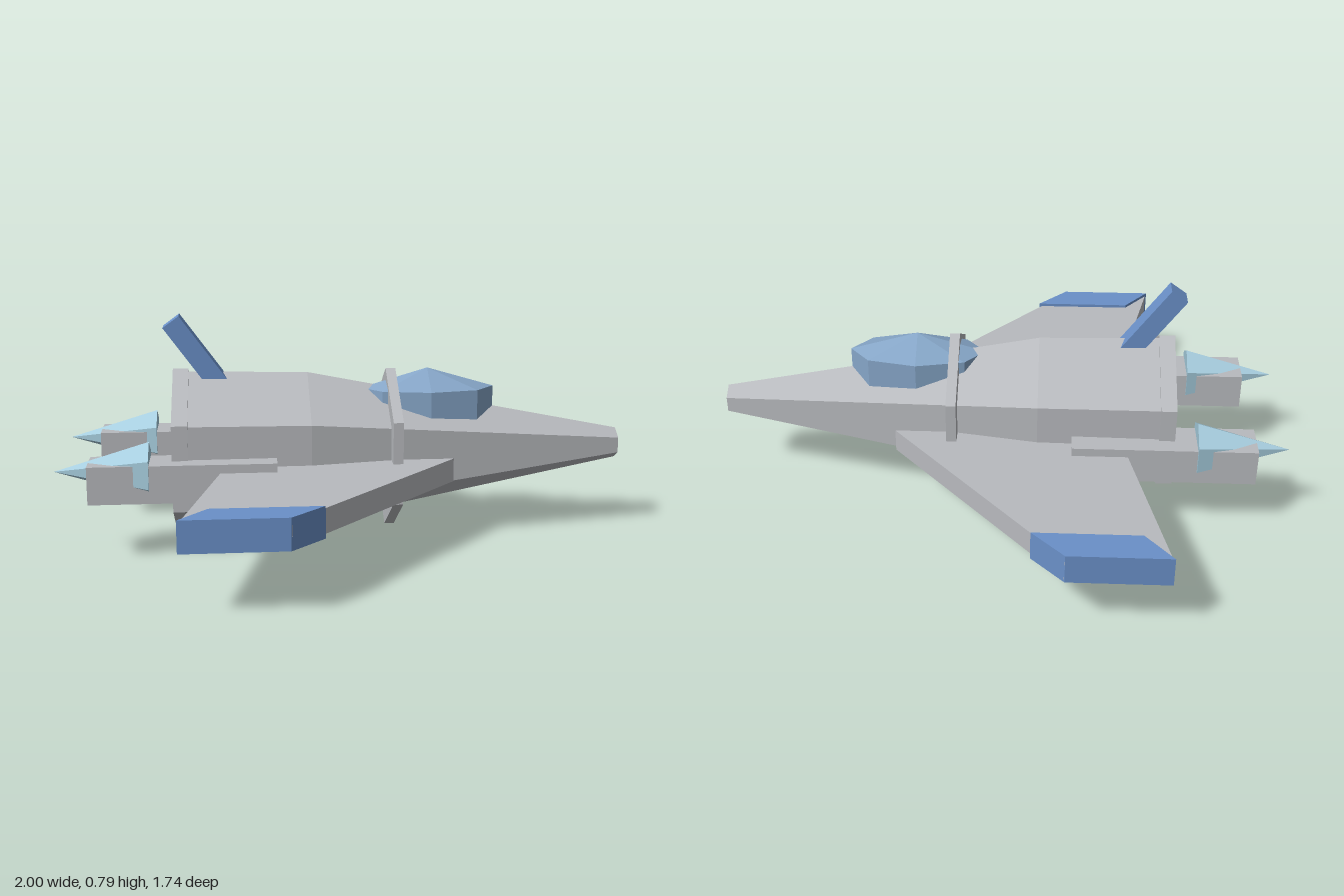
import * as THREE from 'three';

const AXIS_Y = 0.3; // height of the hull's long axis

function material(name, color) {
  const m = new THREE.MeshStandardMaterial({ color, flatShading: true });
  m.name = name;
  return m;
}

// Six-sided section along x, with a corner pointing straight up
function hexSection(x0, x1, r0, r1, open = false) {
  const g = new THREE.CylinderGeometry(r1, r0, x1 - x0, 6, 1, open);
  g.rotateY(Math.PI / 2);
  g.rotateZ(-Math.PI / 2);
  g.translate((x0 + x1) / 2, AXIS_Y, 0);
  return g;
}

// Flat slab from a plan outline of [x, z] points, mirrored by side
function slab(outline, side, y0, y1) {
  const shape = new THREE.Shape(outline.map(([x, z]) => new THREE.Vector2(x, -side * z)));
  const g = new THREE.ExtrudeGeometry(shape, { depth: y1 - y0, bevelEnabled: false });
  g.rotateX(-Math.PI / 2);
  g.translate(0, y0, 0);
  return g;
}

export function createModel() {
  const grey = material('hull grey', 0xb8babe);
  const blue = material('trim blue', 0x6a90c8);
  const glass = material('canopy blue', 0x86a6c8);
  const pale = material('exhaust pale blue', 0xa8cfe0);

  const model = new THREE.Group();
  model.name = 'spacecraft';
  const add = (name, geometry, mat, parent = model) => {
    const mesh = new THREE.Mesh(geometry, mat);
    mesh.name = name;
    parent.add(mesh);
    return mesh;
  };

  // Hull: rear body, long nose and two collars
  add('rearHull', hexSection(-0.6, -0.13, 0.29, 0.28, true), grey);
  add('nose', hexSection(-0.13, 1, 0.28, 0.055), grey);
  add('rearCollar', hexSection(-0.605, -0.55, 0.3, 0.3), grey);
  add('middleCollar', hexSection(0.15, 0.185, 0.29, 0.29), grey);

  // Canopy: faceted stretched dome
  const dome = new THREE.SphereGeometry(1, 8, 3);
  dome.scale(0.24 / Math.sin(Math.PI / 3), 0.14, 0.115 / Math.sin(Math.PI / 3));
  dome.translate(0.3, 0.45, 0);
  add('canopy', dome, glass);

  // Tail fin: raked square bar
  const fin = new THREE.BoxGeometry(0.07, 0.36, 0.07);
  fin.translate(0, -0.18, 0);
  const tailFin = add('tailFin', fin, blue);
  tailFin.position.set(-0.607, 0.77, 0);
  tailFin.rotation.z = 0.63;

  // Wings, wing tips, engines and exhausts on both sides
  for (const side of [1, -1]) {
    const half = new THREE.Group();
    half.name = side > 0 ? 'leftSide' : 'rightSide';
    model.add(half);

    add('wing', slab([[0.37, 0.19], [-0.227, 0.866], [-0.562, 0.866], [-0.414, 0.19]], side, 0.218, 0.3), grey, half);
    add('wingTip', slab([[-0.12, 0.757], [-0.229, 0.868], [-0.566, 0.868], [-0.475, 0.757]], side, 0.207, 0.311), blue, half);

    const engine = new THREE.BoxGeometry(0.635, 0.13, 0.145);
    engine.translate(-0.5675, 0.265, side * 0.247);
    add('engine', engine, grey, half);

    const exhaust = hexSection(-1, -0.68, 0, 0.097);
    exhaust.translate(0, 0, side * 0.249);
    add('exhaustCone', exhaust, pale, half);
  }
  return model;
}
